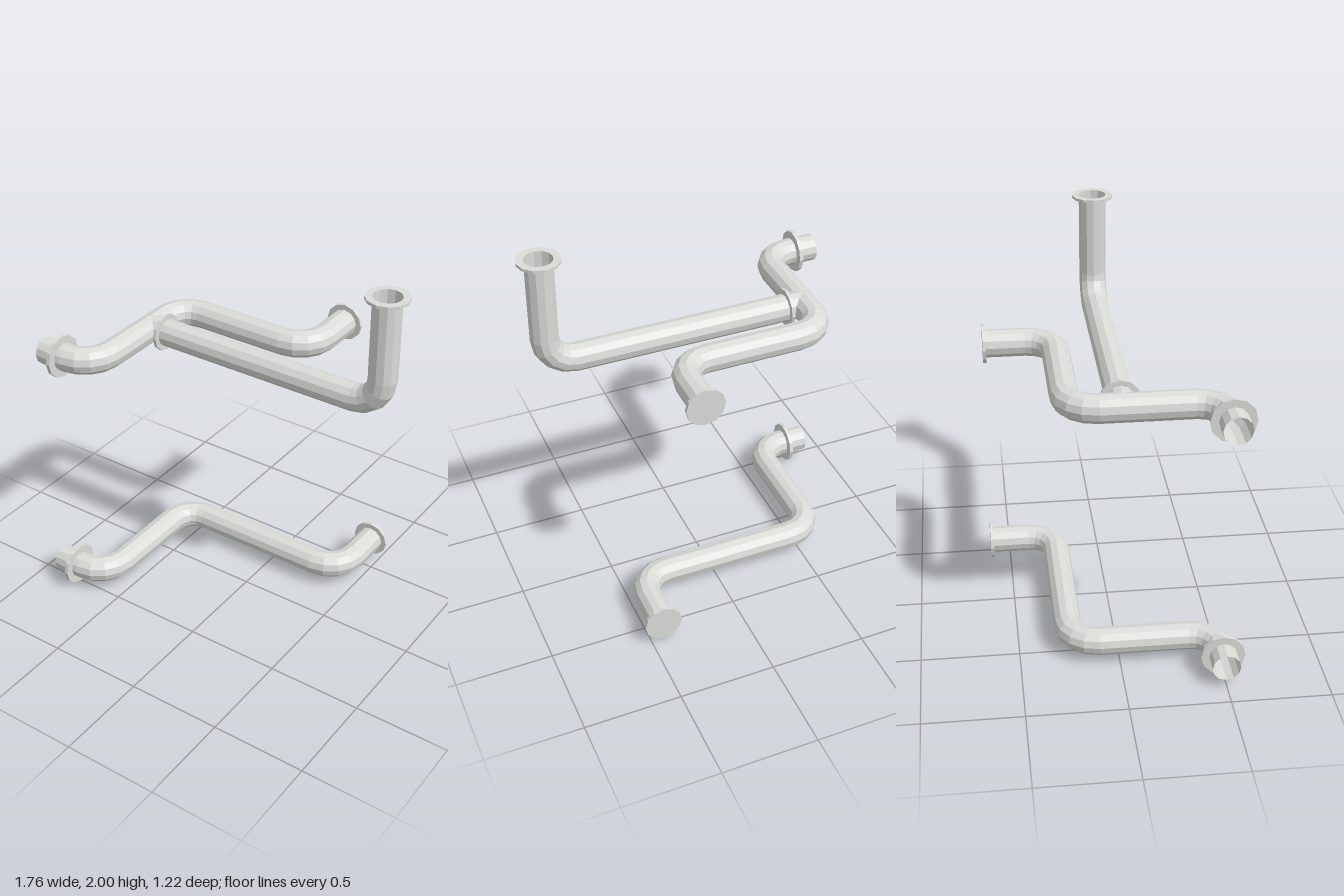
import * as THREE from 'three';

const SIDES = 12, PIPE_R = 0.071, BEND_R = 0.147, BEND_STEPS = 4;
const V = (x, y, z) => new THREE.Vector3(x, y, z);

// Sweeps an open round pipe along a planar polyline, rounding each corner into an elbow.
function pipeGeometry(corners, normal) {
  const rings = [];
  const dir = (i) => corners[i + 1].clone().sub(corners[i]).normalize();
  rings.push([corners[0], dir(0)]);
  for (let i = 1; i < corners.length - 1; i++) {
    const a = dir(i - 1), b = dir(i);
    const centre = corners[i].clone().addScaledVector(a, -BEND_R).addScaledVector(b, BEND_R);
    for (let k = 0; k <= BEND_STEPS; k++) {
      const t = (k / BEND_STEPS) * Math.PI / 2, c = Math.cos(t), s = Math.sin(t);
      const p = centre.clone().addScaledVector(b, -BEND_R * c).addScaledVector(a, BEND_R * s);
      rings.push([p, a.clone().multiplyScalar(c).addScaledVector(b, s)]);
    }
  }
  rings.push([corners[corners.length - 1], dir(corners.length - 2)]);

  const pos = [], index = [];
  rings.forEach(([p, tangent], i) => {
    const side = tangent.clone().cross(normal);
    for (let j = 0; j < SIDES; j++) {
      const t = (j / SIDES) * Math.PI * 2;
      const q = p.clone().addScaledVector(normal, PIPE_R * Math.cos(t)).addScaledVector(side, PIPE_R * Math.sin(t));
      pos.push(q.x, q.y, q.z);
      if (i === 0) continue;
      const n = (j + 1) % SIDES, lo = (i - 1) * SIDES, hi = i * SIDES;
      index.push(lo + j, lo + n, hi + j, lo + n, hi + n, hi + j);
    }
  });
  const g = new THREE.BufferGeometry();
  g.setAttribute('position', new THREE.Float32BufferAttribute(pos, 3));
  g.setIndex(index);
  const flat = g.toNonIndexed();
  flat.computeVertexNormals();
  return flat;
}

// Flat collar along z, with a bore for the pipe unless it is a closed end plate.
function flangeGeometry(radius, thickness, closed) {
  const circle = (r) => Array.from({ length: SIDES }, (_, j) => {
    const t = (j / SIDES) * Math.PI * 2;
    return new THREE.Vector2(r * Math.cos(t), r * Math.sin(t));
  });
  const shape = new THREE.Shape(circle(radius));
  if (!closed) shape.holes.push(new THREE.Path(circle(PIPE_R).reverse()));
  return new THREE.ExtrudeGeometry(shape, { depth: thickness, bevelEnabled: false })
    .translate(0, 0, -thickness / 2);
}

export function createModel() {
  const model = new THREE.Group();
  model.name = 'pipework';
  const steel = new THREE.MeshStandardMaterial({ color: 0xdbdbd8, flatShading: true, side: THREE.DoubleSide });
  steel.name = 'light grey steel';

  const add = (name, geometry, parent) => {
    const mesh = new THREE.Mesh(geometry, steel);
    mesh.name = name;
    parent.add(mesh);
    return mesh;
  };
  const addFlange = (name, parent, at, axis, radius, thickness, closed = false) => {
    const mesh = add(name, flangeGeometry(radius, thickness, closed), parent);
    mesh.position.copy(at);
    if (axis === 'x') mesh.rotation.y = Math.PI / 2;
    if (axis === 'y') mesh.rotation.x = -Math.PI / 2;
  };

  // Two winding pipes, one above the other
  for (const [name, y, endX] of [['lowerPipe', 0.113, 0.434], ['upperPipe', 1.422, 0.206]]) {
    const group = new THREE.Group();
    group.name = name;
    model.add(group);
    add('windingPipe', pipeGeometry([
      V(-0.879, y, 0.497), V(-0.585, y, 0.497), V(-0.585, y, -0.249),
      V(endX, y, -0.249), V(endX, y, -0.596),
    ], V(0, 1, 0)), group);
    addFlange('inletCollar', group, V(-0.769, y, 0.497), 'x', 0.111, 0.02);
    addFlange('endPlate', group, V(endX, y, -0.602), 'z', 0.099, 0.017, true);
  }

  // Branch that leaves the upper pipe and turns upwards
  const branch = new THREE.Group();
  branch.name = 'branchPipe';
  model.add(branch);
  add('risingPipe', pipeGeometry([
    V(-0.585, 1.422, 0.009), V(0.773, 1.422, 0.009), V(0.773, 1.998, 0.009),
  ], V(0, 0, 1)), branch);
  addFlange('branchCollar', branch, V(-0.493, 1.422, 0.009), 'x', 0.098, 0.017);
  addFlange('topCollar', branch, V(0.773, 1.993, 0.009), 'y', 0.107, 0.014);

  return model;
}
